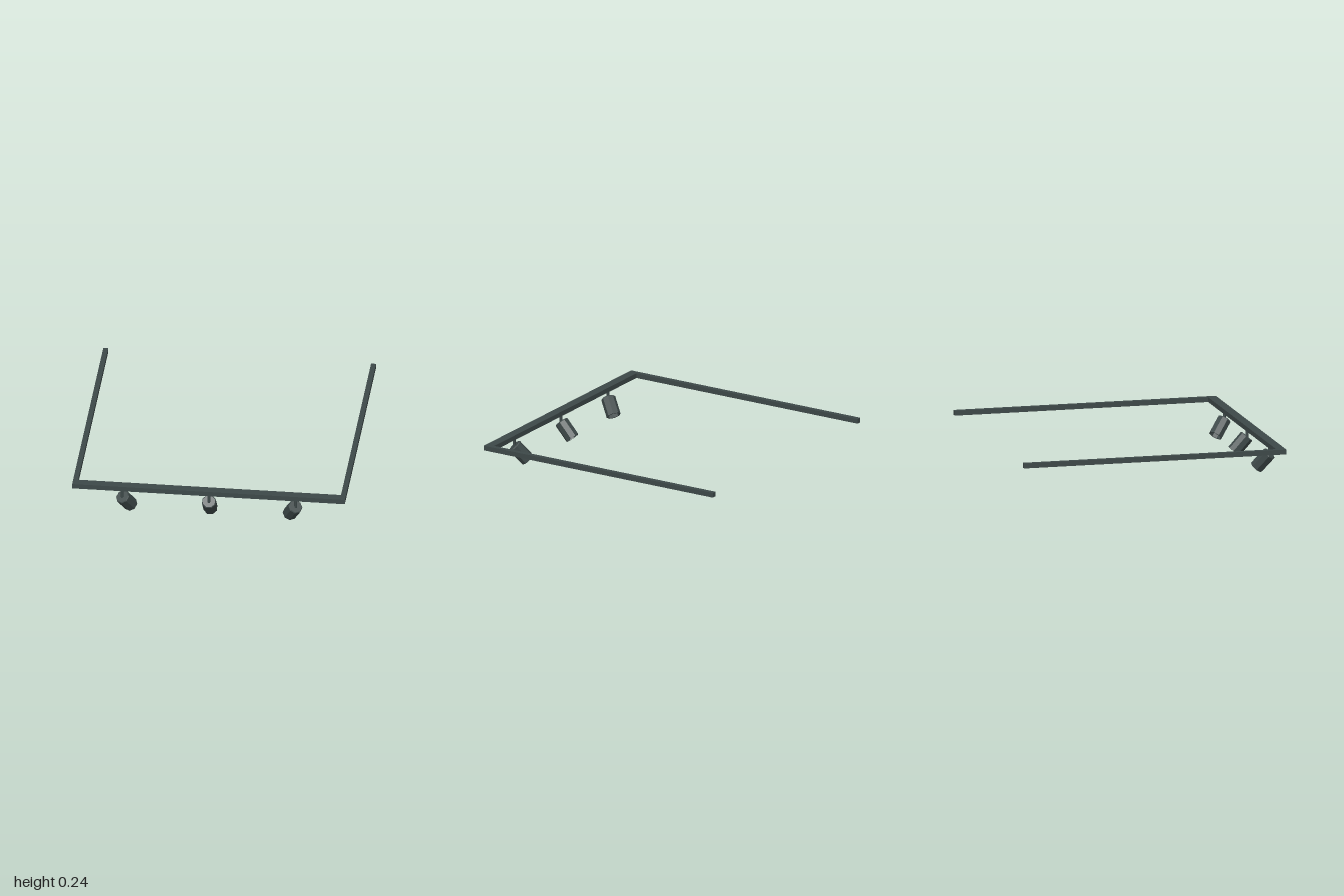
import * as THREE from 'three';

export function createModel() {
  const model = new THREE.Group();
  const metal = new THREE.MeshStandardMaterial({ color: 0x3d4848, flatShading: true });
  metal.name = 'dark grey metal';

  function add(parent, name, geometry, x = 0, y = 0, z = 0) {
    const mesh = new THREE.Mesh(geometry, metal);
    mesh.name = name;
    mesh.position.set(x, y, z);
    parent.add(mesh);
    return mesh;
  }

  // U-shaped ceiling frame: a wide front rail and two slim side rails
  const railY = 0.228, railH = 0.036;
  add(model, 'frontRail', new THREE.BoxGeometry(2, railH, 0.068), 0, railY, 0.948);
  for (const side of [-1, 1]) {
    add(model, side < 0 ? 'rightRail' : 'leftRail',
      new THREE.BoxGeometry(0.036, railH, 1.91), side * 0.982, railY, -0.04);
  }

  // Octagonal lamp shade, closed on top and recessed at its lower end
  const radius = 0.053, length = 0.147;
  const profile = [
    [0, -length + 0.04], [radius - 0.009, -length + 0.04],
    [radius - 0.009, -length], [radius, -length],
    [radius, -0.006], [radius - 0.006, 0], [0, 0],
  ].map(([x, y]) => new THREE.Vector2(x, y));
  // A lathe's outer faces point outward when its profile runs upward
  const shade = new THREE.LatheGeometry(profile, 8, Math.PI / 8);
  const stem = new THREE.CylinderGeometry(0.011, 0.011, 0.075, 8);

  // Three spotlights tilted backward, the outer two turned toward the middle
  for (const [name, x, turn] of [['right', -0.636, -33], ['middle', 0, 0], ['left', 0.636, 33]]) {
    const lamp = new THREE.Group();
    lamp.name = name + 'Spotlight';
    lamp.position.set(x, 0.148, 0.95);
    add(lamp, 'stem', stem, 0, 0.03, 0);
    const head = add(lamp, 'lampShade', shade);
    head.rotation.set(THREE.MathUtils.degToRad(42), THREE.MathUtils.degToRad(turn), 0, 'YXZ');
    model.add(lamp);
  }
  return model;
}
